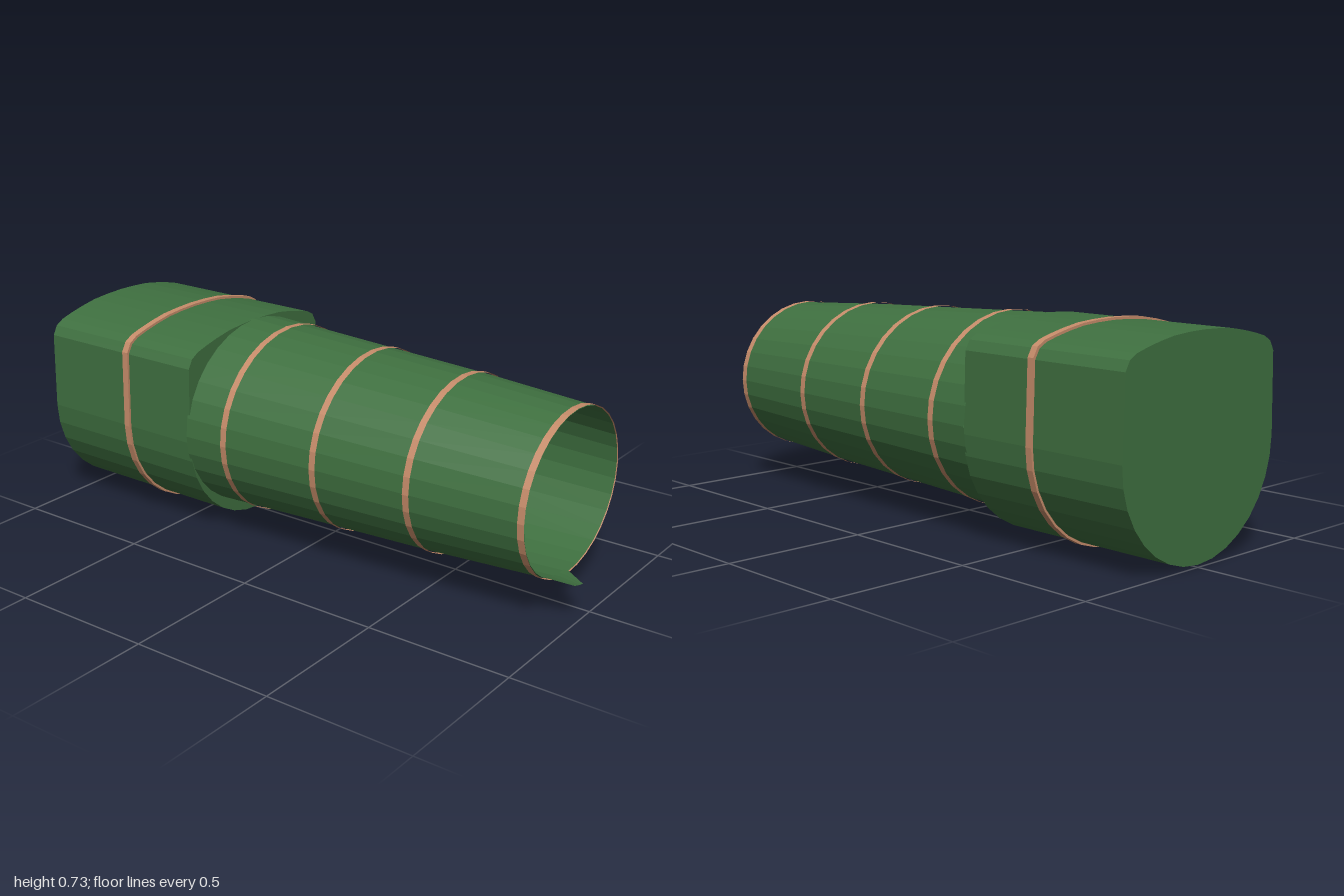
import * as THREE from 'three';

const SEG = 32;
const CY = 0.393;      // height of the barrel axis
const RATIO = 0.91;    // barrel height / width
const green = new THREE.MeshStandardMaterial({ color: 0x3f7040, flatShading: true, side: THREE.DoubleSide });
const copper = new THREE.MeshStandardMaterial({ color: 0xc68c6a, flatShading: true, side: THREE.DoubleSide });

function part(name, geometry, material) {
  const mesh = new THREE.Mesh(geometry, material);
  mesh.name = name;
  return mesh;
}

// Open elliptical tube along z through stations [z, half width]
function ellipticTube(stations) {
  const g = new THREE.LatheGeometry(stations.map(([z, r]) => new THREE.Vector2(r, z)), SEG);
  g.rotateX(Math.PI / 2);
  g.scale(1, RATIO, 1);
  g.translate(0, CY, 0);
  return g;
}

// Housing outline: round belly, upright sides, gently domed top
function housingOutline(grow = 0) {
  const pts = [];
  for (let i = 0; i <= 16; i++) {
    const a = Math.PI + (i / 16) * Math.PI;
    pts.push([0.355 * Math.cos(a), 0.367 + 0.355 * Math.sin(a)]);
  }
  const top = [[0.348, 0.63], [0.33, 0.662], [0.3, 0.679], [0.257, 0.691], [0.2, 0.704], [0.137, 0.715], [0.07, 0.72]];
  pts.push(...top, [0, 0.722], ...top.map(([x, y]) => [-x, y]).reverse());
  const mid = 0.367, sx = 1 + grow / 0.355;
  return pts.map(([x, y]) => new THREE.Vector2(x * sx, mid + (y - mid) * sx));
}

function extrude(shape, z, depth) {
  const g = new THREE.ExtrudeGeometry(shape, { depth, bevelEnabled: false });
  g.translate(0, 0, z);
  return g;
}

// Spout: a tapering strip that continues the barrel wall past its mouth
function lipGeometry() {
  const rows = [[0.9, -0.172, 0.002], [0.918, -0.172, 0.002], [1, -0.118, -0.06]];
  const n = 6, pos = [], idx = [];
  rows.forEach(([z, x0, x1], r) => {
    for (let i = 0; i <= n; i++) {
      const x = x0 + (x1 - x0) * (i / n);
      pos.push(x, CY - RATIO * Math.sqrt(0.298 ** 2 - x * x), z);
      if (r && i < n) {
        const b = r * (n + 1) + i, a = b - n - 1;
        idx.push(a, a + 1, b, a + 1, b + 1, b);
      }
    }
  });
  const g = new THREE.BufferGeometry();
  g.setAttribute('position', new THREE.Float32BufferAttribute(pos, 3));
  g.setIndex(idx);
  g.computeVertexNormals();
  return g;
}

export function createModel() {
  const model = new THREE.Group();
  model.name = 'barrelAndHousing';

  // Rear housing with its strap
  model.add(part('housing', extrude(new THREE.Shape(housingOutline()), -1, 0.648), green));
  const strap = new THREE.Shape(housingOutline(0.008));
  strap.holes.push(new THREE.Path(housingOutline(-0.001)));
  model.add(part('housingStrap', extrude(strap, -0.652, 0.024), copper));

  // Tapered hollow barrel
  const stations = [[-0.36, 0.363], [-0.2, 0.356], [0.16, 0.34], [0.51, 0.325], [0.915, 0.3]];
  model.add(part('barrel', ellipticTube(stations), green));

  // Bands around the barrel: [centre z, half width]
  [[-0.2, 0.361], [0.16, 0.345], [0.512, 0.33], [0.905, 0.304]].forEach(([z, r], i) => {
    model.add(part('barrelBand' + (i + 1), ellipticTube([[z - 0.012, r], [z + 0.012, r]]), copper));
  });

  model.add(part('lip', lipGeometry(), green));
  return model;
}
